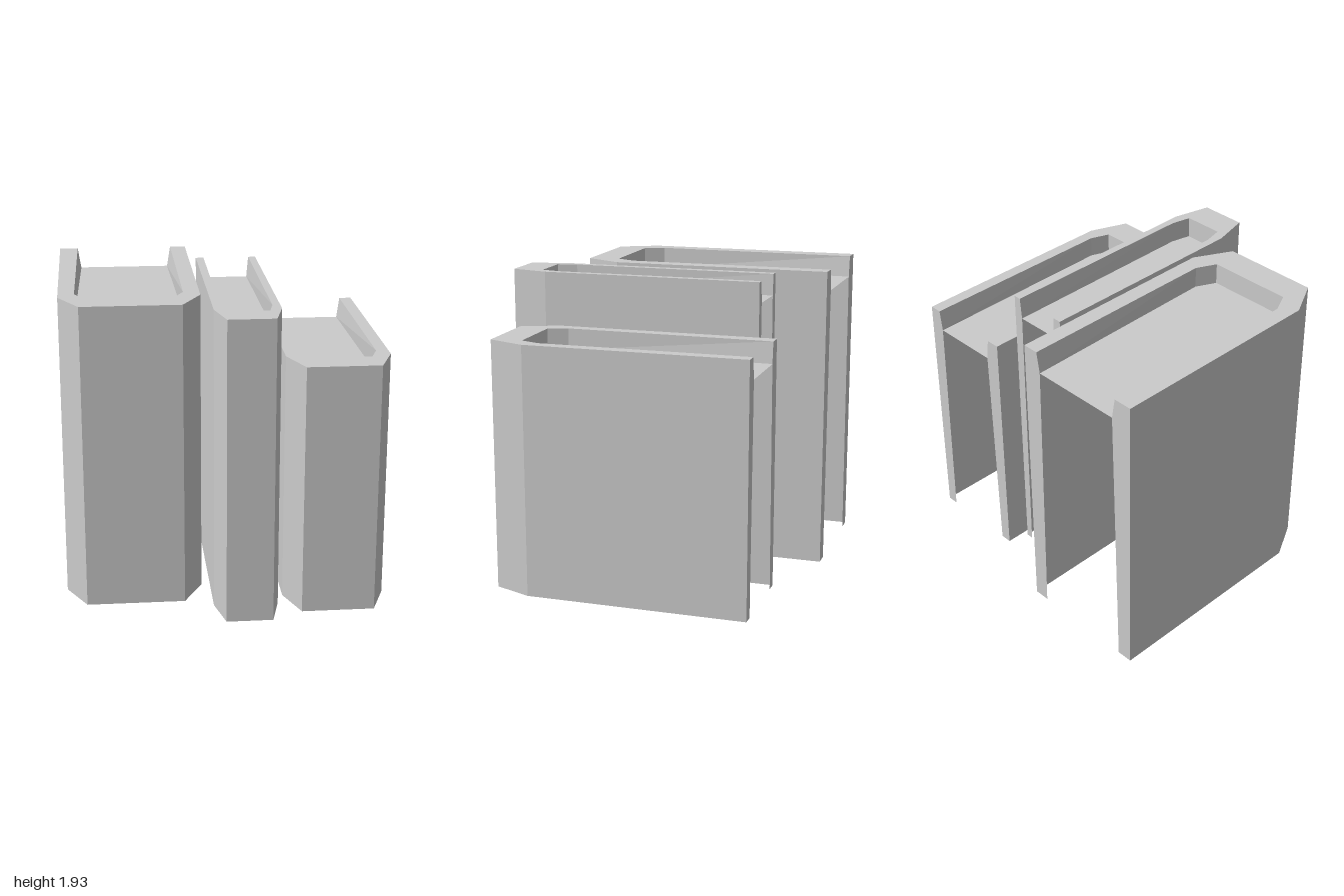
import * as THREE from 'three';

const material = new THREE.MeshStandardMaterial({
  color: 0xcccccc, flatShading: true, side: THREE.DoubleSide,
});

function part(name, geometry) {
  const mesh = new THREE.Mesh(geometry, material);
  mesh.name = name;
  return mesh;
}

// Flat horizontal face from an [x, z] outline, at height y
function flat(outline, y) {
  const shape = new THREE.Shape(outline.map(([x, z]) => new THREE.Vector2(x, -z)));
  return new THREE.ShapeGeometry(shape).rotateX(-Math.PI / 2).translate(0, y, 0);
}

// Wall joining a lower [x, z] path to an upper one
function wall(low, y0, high, y1) {
  const pos = [];
  for (let i = 0; i < low.length - 1; i++) {
    const a = [low[i][0], y0, low[i][1]], b = [low[i + 1][0], y0, low[i + 1][1]];
    const c = [high[i + 1][0], y1, high[i + 1][1]], d = [high[i][0], y1, high[i][1]];
    pos.push(...a, ...b, ...c, ...a, ...c, ...d);
  }
  const g = new THREE.BufferGeometry();
  g.setAttribute('position', new THREE.Float32BufferAttribute(pos, 3));
  g.computeVertexNormals();
  return g;
}

// Book standing upright: hollow cover with a bevelled spine, recessed page top, open back
function book(name, { outer, inner, pageBack, footWidth, bottom, top }) {
  const group = new THREE.Group();
  group.name = name;
  const pageY = top - 0.135;
  const back = outer[0][1];
  const pages = inner.map((p) => [...p]);
  pages[0][0] = pageBack[0];
  pages[5][0] = pageBack[1];

  group.add(
    part('cover', wall(outer, bottom, outer, top)),
    part('coverRim', flat([...outer, ...[...inner].reverse()], top)),
    part('innerRimWall', wall([...pages].reverse(), pageY, [...inner].reverse(), top)),
    part('pageTop', flat(pages, pageY)),
  );

  // Back edges of the two cover boards, kinked where the page top meets them
  [[0, 1], [5, -1]].forEach(([i, dir]) => {
    const x = outer[i][0];
    const edge = new THREE.Shape([
      [x, bottom], [x + dir * footWidth, bottom], [pages[i][0], pageY],
      [inner[i][0], top], [x, top],
    ].map(([px, py]) => new THREE.Vector2(px, py)));
    const g = new THREE.ShapeGeometry(edge).translate(0, 0, back);
    group.add(part(dir > 0 ? 'rightBoardEdge' : 'leftBoardEdge', g));
  });
  return group;
}

export function createModel() {
  const model = new THREE.Group();
  model.name = 'books';
  model.add(
    book('wideBook', {
      outer: [[-1, -0.98], [-1, 0.42], [-0.875, 0.655], [-0.262, 0.655], [-0.14, 0.42], [-0.14, -0.98]],
      inner: [[-0.88, -0.98], [-0.9, 0.34], [-0.84, 0.465], [-0.3, 0.465], [-0.24, 0.34], [-0.242, -0.98]],
      pageBack: [-0.858, -0.264], footWidth: 0.1, bottom: 0.005, top: 1.926,
    }),
    book('thinBook', {
      outer: [[-0.087, -0.66], [-0.087, 0.74], [-0.03, 0.975], [0.258, 0.975], [0.315, 0.74], [0.315, -0.66]],
      inner: [[-0.035, -0.66], [-0.04, 0.66], [-0.012, 0.785], [0.24, 0.785], [0.268, 0.66], [0.268, -0.66]],
      pageBack: [-0.023, 0.256], footWidth: 0.045, bottom: 0.01, top: 1.914,
    }),
    book('shortBook', {
      outer: [[0.36, -0.784], [0.36, 0.615], [0.452, 0.855], [0.905, 0.855], [1, 0.615], [1, -0.784]],
      inner: [[0.447, -0.784], [0.434, 0.54], [0.48, 0.662], [0.878, 0.662], [0.924, 0.54], [0.922, -0.784]],
      pageBack: [0.463, 0.904], footWidth: 0.073, bottom: 0, top: 1.583,
    }),
  );
  return model;
}
